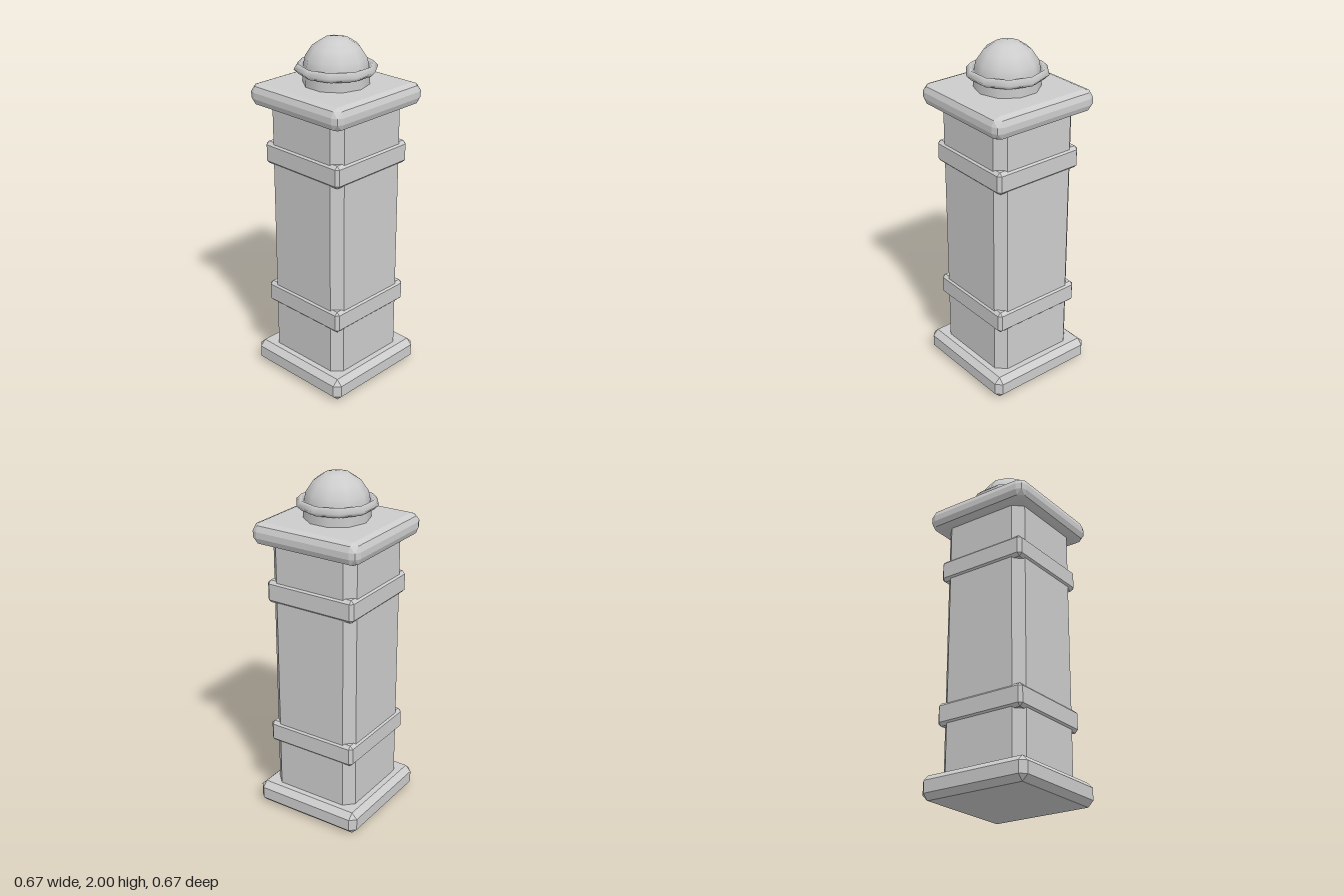
import * as THREE from 'three';
import { ConvexGeometry } from 'three/addons/geometries/ConvexGeometry.js';

// Square block with bevelled edges; rounded adds a second bevel step.
function bevelBlock(half, y0, y1, bevel, rounded) {
  const directions = [[1, 0, 0], [0, 1, 0], [0, 0, 1]];
  if (rounded) {
    const d = Math.SQRT1_2;
    directions.push([d, d, 0], [d, 0, d], [0, d, d]);
  }
  const halfHeight = (y1 - y0) / 2;
  const points = [];
  for (const sx of [-1, 1]) for (const sy of [-1, 1]) for (const sz of [-1, 1]) {
    for (const [dx, dy, dz] of directions) {
      points.push(new THREE.Vector3(
        sx * (half - bevel + dx * bevel),
        (y0 + y1) / 2 + sy * (halfHeight - bevel + dy * bevel),
        sz * (half - bevel + dz * bevel)));
    }
  }
  return new ConvexGeometry(points);
}

// Square column with cut vertical corners.
function cutColumn(half, cut, y0, y1) {
  const points = [];
  for (const y of [y0, y1]) for (const sx of [-1, 1]) for (const sz of [-1, 1]) {
    points.push(new THREE.Vector3(sx * half, y, sz * (half - cut)));
    points.push(new THREE.Vector3(sx * (half - cut), y, sz * half));
  }
  return new ConvexGeometry(points);
}

export function createModel() {
  const model = new THREE.Group();
  model.name = 'stonePost';
  const stone = new THREE.MeshStandardMaterial({ color: 0xcccccc });
  stone.name = 'pale grey stone';

  const add = (name, geometry, y = 0) => {
    const mesh = new THREE.Mesh(geometry, stone);
    mesh.name = name;
    mesh.position.y = y;
    model.add(mesh);
  };

  // Square masonry
  add('base', bevelBlock(0.335, 0, 0.135, 0.033, false));
  add('shaft', cutColumn(0.268, 0.053, 0.1, 1.66));
  add('lowerBand', bevelBlock(0.278, 0.41, 0.54, 0.018, false));
  add('upperBand', bevelBlock(0.278, 1.283, 1.413, 0.018, false));
  add('cap', bevelBlock(0.335, 1.62, 1.745, 0.045, true));

  // Ten-sided finial
  add('neck', new THREE.CylinderGeometry(0.182, 0.182, 0.09, 10), 1.775);
  const ring = new THREE.TorusGeometry(0.202, 0.026, 4, 10);
  ring.rotateX(Math.PI / 2);
  add('ring', ring, 1.83);
  const dome = new THREE.SphereGeometry(0.181, 10, 4, 0, Math.PI * 2, 0, Math.PI / 2);
  dome.rotateY(Math.PI / 2);
  add('dome', dome, 1.819);

  return model;
}
